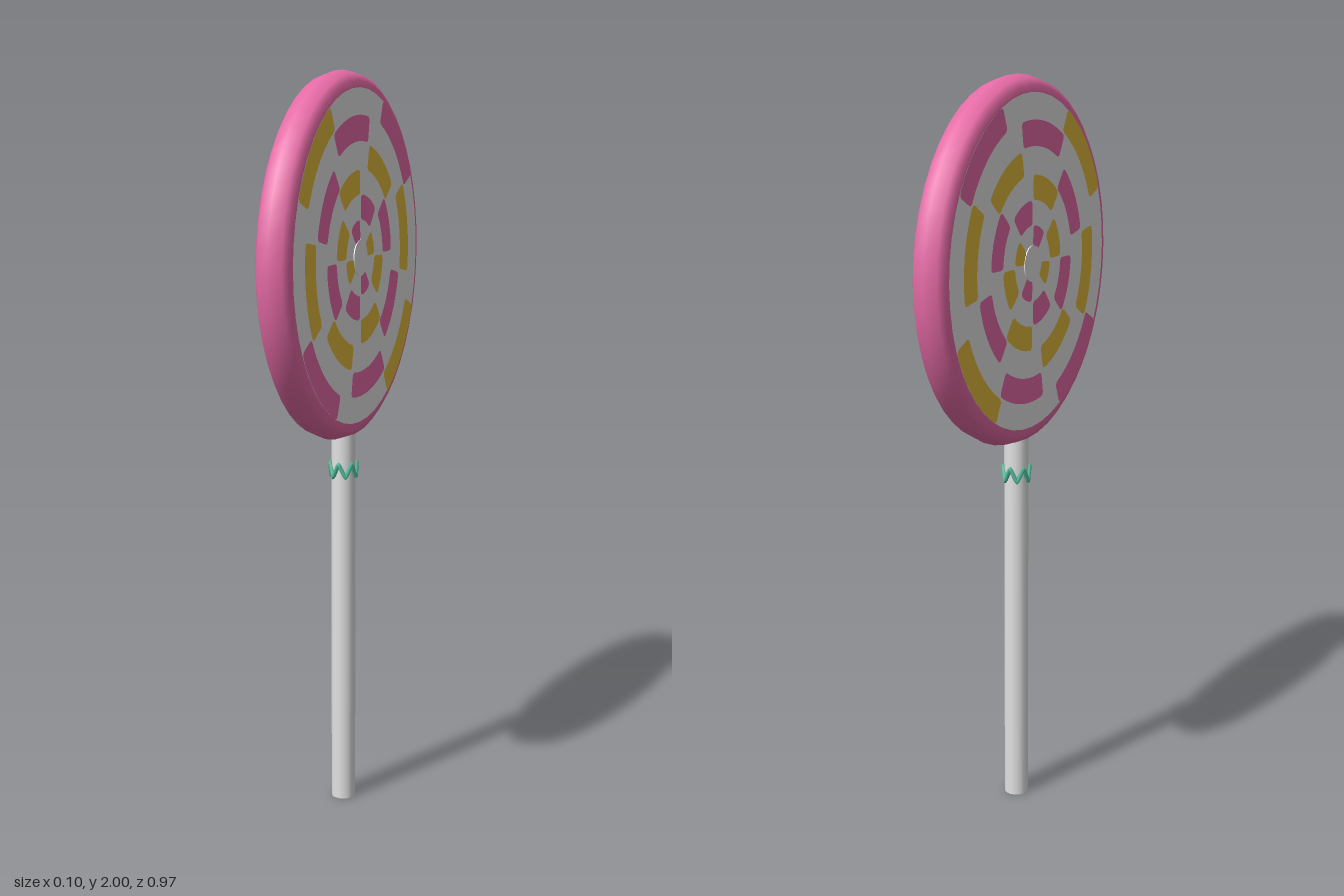
import * as THREE from 'three';

const CENTRE_Y = 1.515, FACE_X = 0.047, FACE_R = 0.44;
const rad = THREE.MathUtils.degToRad;

function material(name, color) {
  const m = new THREE.MeshStandardMaterial({ color });
  m.name = name;
  return m;
}

function addMesh(parent, name, geometry, mat) {
  const mesh = new THREE.Mesh(geometry, mat);
  mesh.name = name;
  parent.add(mesh);
  return mesh;
}

// Curved dash between two radii and two angles, with softened corners
function dashGeometry(r0, r1, a, b) {
  const c = 0.014;
  const p = (r, t) => [r * Math.cos(t), r * Math.sin(t)];
  const s = new THREE.Shape();
  s.moveTo(...p(r1, a + c / r1));
  s.absarc(0, 0, r1, a + c / r1, b - c / r1, false);
  s.quadraticCurveTo(...p(r1, b), ...p(r1 - c, b));
  s.lineTo(...p(r0 + c, b));
  s.quadraticCurveTo(...p(r0, b), ...p(r0, b - c / r0));
  s.absarc(0, 0, r0, b - c / r0, a + c / r0, true);
  s.quadraticCurveTo(...p(r0, a), ...p(r0 + c, a));
  s.lineTo(...p(r1 - c, a));
  s.quadraticCurveTo(...p(r1, a), ...p(r1, a + c / r1));
  return new THREE.ShapeGeometry(s, 10);
}

export function createModel() {
  const model = new THREE.Group();
  model.name = 'lollipop';
  const pink = material('pink candy', 0xe66ba6);
  const white = material('white candy', 0xe6e4e6);
  const yellow = material('yellow candy', 0xe2ba3c);
  const stickMat = material('stick white', 0xe2e2e2);
  const green = material('green ribbon', 0x52bd9c);

  // Stick
  addMesh(model, 'stick', new THREE.CylinderGeometry(0.033, 0.033, 1.06, 16), stickMat)
    .position.y = 0.53;

  // Ribbon zigzagging round the stick
  const peaks = 6, zigzag = new THREE.CurvePath();
  const corner = (i) => {
    const t = (i / (peaks * 2)) * Math.PI * 2;
    return new THREE.Vector3(0.036 * Math.cos(t), 0.942 + (i % 2 ? 0.019 : -0.019), 0.036 * Math.sin(t));
  };
  for (let i = 0; i < peaks * 2; i++) {
    zigzag.add(new THREE.LineCurve3(corner(i), corner((i + 1) % (peaks * 2))));
  }
  addMesh(model, 'ribbon', new THREE.TubeGeometry(zigzag, 96, 0.006, 6, true), green);

  // Candy disc, facing sideways
  const candy = new THREE.Group();
  candy.name = 'candy';
  candy.position.y = CENTRE_Y;
  model.add(candy);

  const profile = [[FACE_R, -FACE_X], [0.457, -0.044], [0.474, -0.033], [0.485, 0],
    [0.474, 0.033], [0.457, 0.044], [FACE_R, FACE_X]].map(([r, x]) => new THREE.Vector2(r, x));
  addMesh(candy, 'rim', new THREE.LatheGeometry(profile, 48), pink).rotation.z = Math.PI / 2;
  addMesh(candy, 'hub', new THREE.CylinderGeometry(0.048, 0.048, 0.1, 24), white)
    .rotation.z = Math.PI / 2;

  // Spiral of dashes: inner radius, outer radius, first pink angle
  const rings = [[0.045, 0.1, 92], [0.1, 0.165, 49], [0.165, 0.23, 1],
    [0.232, 0.298, 128], [0.303, 0.37, 80], [0.375, 0.44, 28]];
  for (const side of [1, -1]) {
    const face = new THREE.Group();
    face.name = side > 0 ? 'leftFace' : 'rightFace';
    face.rotation.y = side * Math.PI / 2;
    face.position.x = side * FACE_X;
    candy.add(face);
    addMesh(face, 'faceDisc', new THREE.CircleGeometry(FACE_R, 48), white);
    for (const [r0, r1, start] of rings) {
      for (let i = 0; i < 4; i++) {
        const a = start + i * 90, b = a + 40;
        const [from, to] = side > 0 ? [a, b] : [180 - b, 180 - a];
        addMesh(face, 'dash', dashGeometry(r0, r1, rad(from), rad(to)), i % 2 ? yellow : pink)
          .position.z = 0.0015;
      }
    }
  }
  return model;
}
